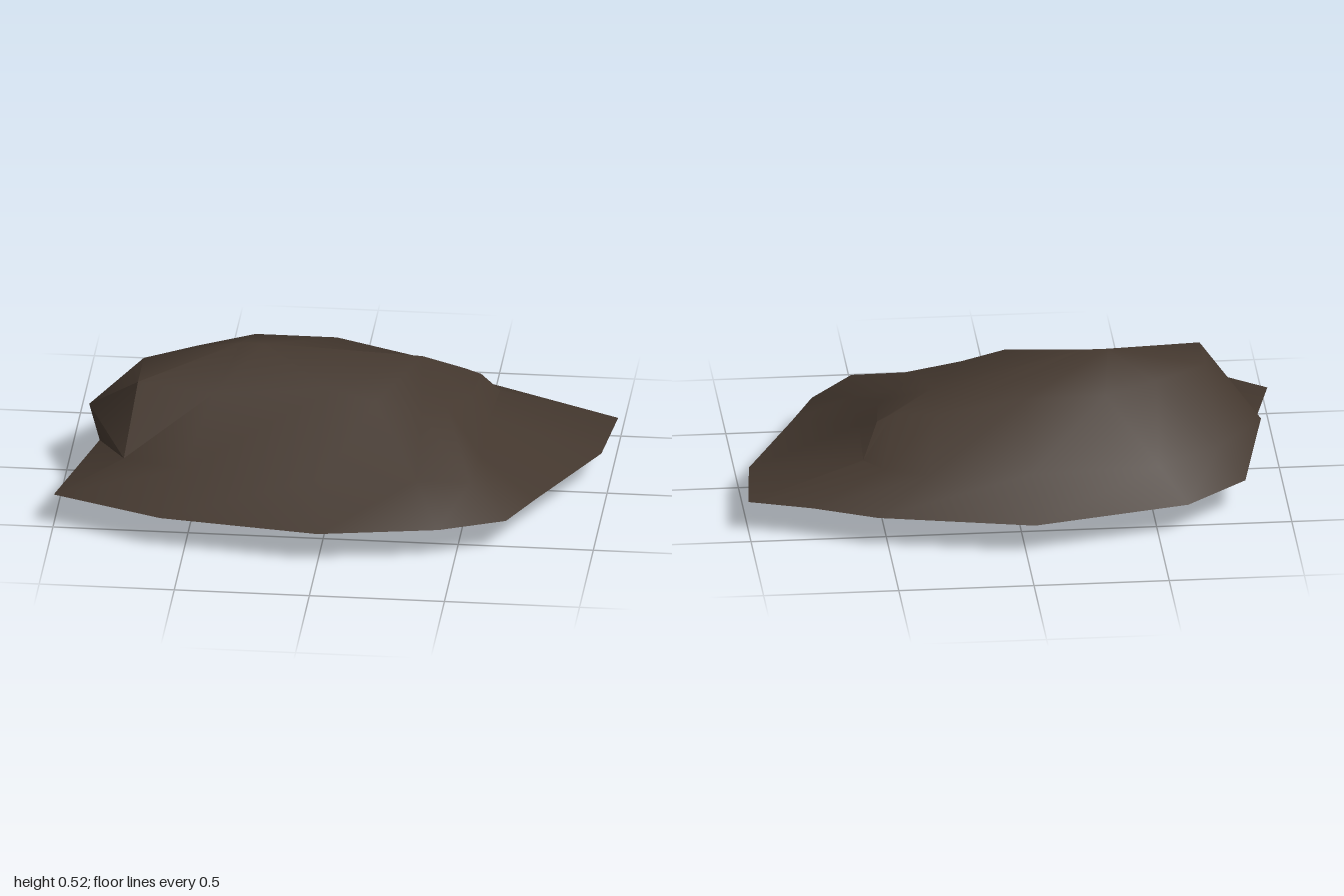
import * as THREE from 'three';
import { toCreasedNormals } from 'three/addons/utils/BufferGeometryUtils.js';

// Each ring runs counterclockwise from the front-left corner, as [x, y, z].
const rim = [
  [-1, 0.47], [-0.59, 0.635], [0, 0.715], [0.44, 0.635], [0.68, 0.53], [0.77, 0.33], [0.97, -0.09],
  [1, -0.405], [0.77, -0.485], [0.54, -0.595], [-0.03, -0.72], [-0.61, -0.58], [-0.84, -0.375], [-0.88, -0.02],
].map(([x, z]) => [x, 0.118, z]);

const shoulder = [
  [-0.75, 0.235, 0.38], [-0.52, 0.235, 0.45], [0, 0.235, 0.47], [0.34, 0.235, 0.465], [0.54, 0.235, 0.46],
  [0.56, 0.24, 0.25], [0.56, 0.26, -0.06], [0.57, 0.24, -0.34], [0.5, 0.235, -0.42], [0.34, 0.235, -0.49],
  [-0.03, 0.235, -0.52], [-0.51, 0.235, -0.485], [-0.75, 0.235, -0.32], [-0.925, 0.235, -0.08],
];

const crown = [
  [-0.72, 0.445, 0.16], [-0.44, 0.415, 0.17], [0, 0.445, 0.16], [0.16, 0.405, 0.16], [0.33, 0.36, 0.15],
  [0.41, 0.352, 0.05], [0.49, 0.342, -0.05], [0.51, 0.35, -0.24], [0.45, 0.375, -0.23], [0.3, 0.385, -0.28],
  [-0.03, 0.445, -0.3], [-0.33, 0.445, -0.3], [-0.53, 0.445, -0.18], [-0.72, 0.445, -0.05],
];

// The crest is a ridge from the peak down to a spur on the right.
const peak = [-0.36, 0.525, -0.05], summit = [-0.27, 0.525, -0.05], spur = [0.3, 0.445, -0.17];
const crest = crown.map((_, i) => {
  if (i >= 3 && i <= 9) return spur;
  return i === 2 || i === 10 ? summit : peak;
});

// The keel is a straight ridge below.
const keel = rim.map(([x]) => [THREE.MathUtils.clamp(x, -0.52, 0.74), 0, -0.09]);

function skin(rings, crease) {
  const positions = [];
  const triangle = (...corners) => {
    const [a, b, c] = corners.map((p) => new THREE.Vector3(...p));
    if (new THREE.Triangle(a, b, c).getArea() < 1e-6) return;
    for (const p of [a, b, c]) positions.push(p.x, p.y, p.z);
  };
  for (let r = 0; r < rings.length - 1; r++) {
    const low = rings[r], high = rings[r + 1];
    for (let i = 0; i < low.length; i++) {
      const j = (i + 1) % low.length;
      triangle(low[i], low[j], high[j]);
      triangle(low[i], high[j], high[i]);
    }
  }
  const geometry = new THREE.BufferGeometry();
  geometry.setAttribute('position', new THREE.Float32BufferAttribute(positions, 3));
  return toCreasedNormals(geometry, crease);
}

export function createModel() {
  const group = new THREE.Group();
  group.name = 'rock';
  const stone = new THREE.MeshStandardMaterial({ color: 0x43372e });
  stone.name = 'dark brown stone';

  // Upper mass, from the sharp rim up to the crest
  const top = new THREE.Mesh(skin([rim, shoulder, crown, crest], 0.85), stone);
  top.name = 'upperRock';

  // Shallow underside, from the keel out to the rim
  const base = new THREE.Mesh(skin([keel, rim], 1.2), stone);
  base.name = 'underside';

  group.add(top, base);
  return group;
}
